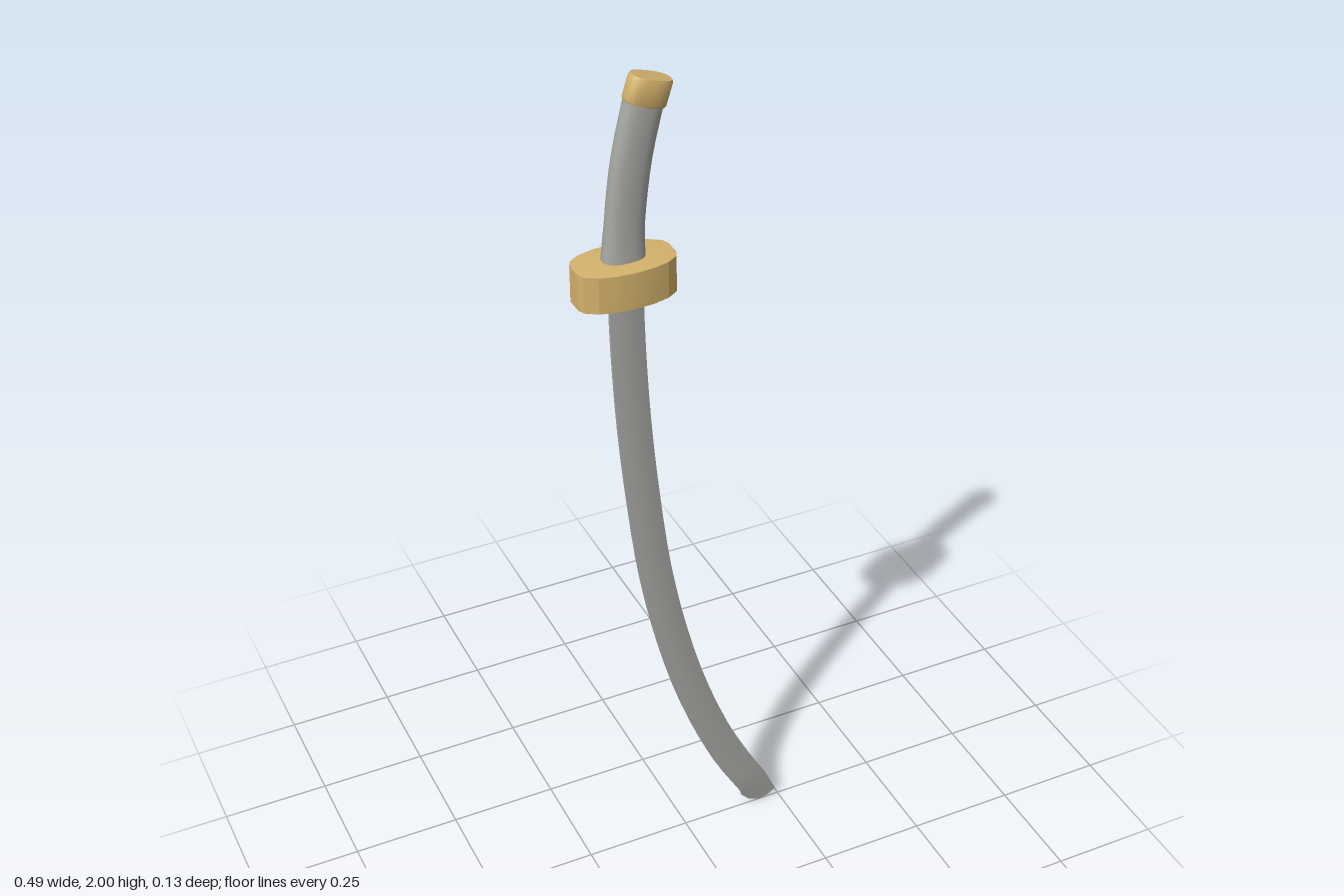
import * as THREE from 'three';
import { toCreasedNormals } from 'three/addons/utils/BufferGeometryUtils.js';

// Skin a list of equal-length rings (bottom to top); cap centres may be raised by bottomLift and topLift
function loft(rings, { bottomLift = 0, topLift = 0, crease = 0.6 } = {}) {
  const n = rings[0].length, pos = [], idx = [];
  rings.forEach(r => r.forEach(p => pos.push(p.x, p.y, p.z)));
  for (let i = 0; i < rings.length - 1; i++) {
    for (let j = 0; j < n; j++) {
      const a = i * n + j, b = i * n + (j + 1) % n;
      idx.push(a, a + n, b, b, a + n, b + n);
    }
  }
  [0, rings.length - 1].forEach((row, top) => {
    const c = new THREE.Vector3();
    rings[row].forEach(p => c.addScaledVector(p, 1 / n));
    const centre = pos.length / 3;
    pos.push(c.x, c.y + (top ? topLift : bottomLift), c.z);
    for (let j = 0; j < n; j++) {
      const a = row * n + j, b = row * n + (j + 1) % n;
      if (top) idx.push(centre, b, a);
      else idx.push(centre, a, b);
    }
  });
  const g = new THREE.BufferGeometry();
  g.setAttribute('position', new THREE.Float32BufferAttribute(pos, 3));
  g.setIndex(idx);
  return toCreasedNormals(g, crease);
}

const curveOf = pts => new THREE.CatmullRomCurve3(pts.map(([x, y]) => new THREE.Vector3(x, y, 0)));

// Place a section of [across, depth] pairs square to the curve at t
function ringAt(curve, t, section) {
  const p = curve.getPoint(t), d = curve.getTangent(t);
  return section.map(([u, z]) => new THREE.Vector3(p.x + d.y * u, p.y - d.x * u, z));
}

// Slightly squared oval section
const oval = (w, d, n = 20) => Array.from({ length: n }, (_, i) => {
  const a = i / n * Math.PI * 2, c = Math.cos(a), s = Math.sin(a);
  return [w * Math.sign(c) * Math.abs(c) ** 0.8, d * Math.sign(s) * Math.abs(s) ** 0.8];
});

export function createModel() {
  const model = new THREE.Group();
  const steel = new THREE.MeshStandardMaterial({ color: 0xa6a6a3 });
  steel.name = 'steel grey';
  const gold = new THREE.MeshStandardMaterial({ color: 0xd4b26c });
  gold.name = 'gold';
  const green = new THREE.MeshStandardMaterial({ color: 0x55b068 });
  green.name = 'edge green';
  const add = (name, geometry, material) => {
    const m = new THREE.Mesh(geometry, material);
    m.name = name;
    model.add(m);
  };

  // Blade: thin lens section swept up the curve, starting from a rounded pointed tip
  const bladeCurve = curveOf([[0.182, 0.062], [0.105, 0.2], [0.024, 0.4], [-0.034, 0.6], [-0.075, 0.8],
    [-0.101, 1.0], [-0.12, 1.2], [-0.131, 1.4], [-0.135, 1.57]]);
  const half = [[1, 0.004], [0.5, 0.008], [0, 0.009], [-0.5, 0.008], [-1, 0.004]];
  const both = pts => [...pts, ...pts.slice().reverse().map(([u, z]) => [u, -z])];
  const bladeSection = both(half).map(([u, z]) => [u * 0.038, z]);
  const tip = [[0.242, 0.02], [0.222, 0.006], [0.2, 0], [0.17, 0.012], [0.148, 0.036]];
  const tipRing = [...tip.map(([x, y]) => new THREE.Vector3(x, y, 0.001)),
    ...tip.slice().reverse().map(([x, y]) => new THREE.Vector3(x, y, -0.001))];
  const bladeRings = [tipRing], edgeRings = [];
  const edgeSection = [[0.0384, 0.002], [0.037, 0.002], [0.037, -0.002], [0.0384, -0.002]];
  for (let i = 0; i <= 24; i++) {
    bladeRings.push(ringAt(bladeCurve, i / 24, bladeSection));
    if (i > 1) edgeRings.push(ringAt(bladeCurve, i / 24, edgeSection));
  }
  add('blade', loft(bladeRings), steel);
  add('bladeEdge', loft(edgeRings), green);

  // Guard: faceted oval block with a low peaked top and a dished underside
  const quarter = [[0.108, 0.02], [0.101, 0.035], [0.076, 0.051], [0.04, 0.06]];
  const side = [...quarter, [0, 0.063], ...quarter.slice().reverse().map(([x, z]) => [-x, z])];
  const guardRing = y => both(side).map(([x, z]) => new THREE.Vector3(x - 0.138, y, z));
  add('guard', loft([guardRing(1.524), guardRing(1.606)], { bottomLift: 0.012, topLift: 0.008, crease: 0.3 }), gold);

  // Handle: oval grip flared at the guard and bending forward at the top
  const gripCurve = curveOf([[-0.139, 1.56], [-0.138, 1.62], [-0.131, 1.72], [-0.116, 1.83], [-0.089, 1.945]]);
  const gripRings = [];
  for (let i = 0; i <= 12; i++) {
    const t = i / 12, flare = Math.max(0, 1 - t * 2.5);
    gripRings.push(ringAt(gripCurve, t, oval(0.042 + 0.009 * flare, 0.025 + 0.009 * flare)));
  }
  add('handle', loft(gripRings), steel);

  // Pommel cap with slightly bevelled ends
  const capCurve = curveOf([[-0.09, 1.935], [-0.081, 1.962], [-0.073, 1.989]]);
  const capRings = [[0, 0.043, 0.026], [0.08, 0.046, 0.028], [0.9, 0.046, 0.028], [1, 0.043, 0.026]]
    .map(([t, w, d]) => ringAt(capCurve, t, oval(w, d)));
  add('pommel', loft(capRings), gold);

  return model;
}
